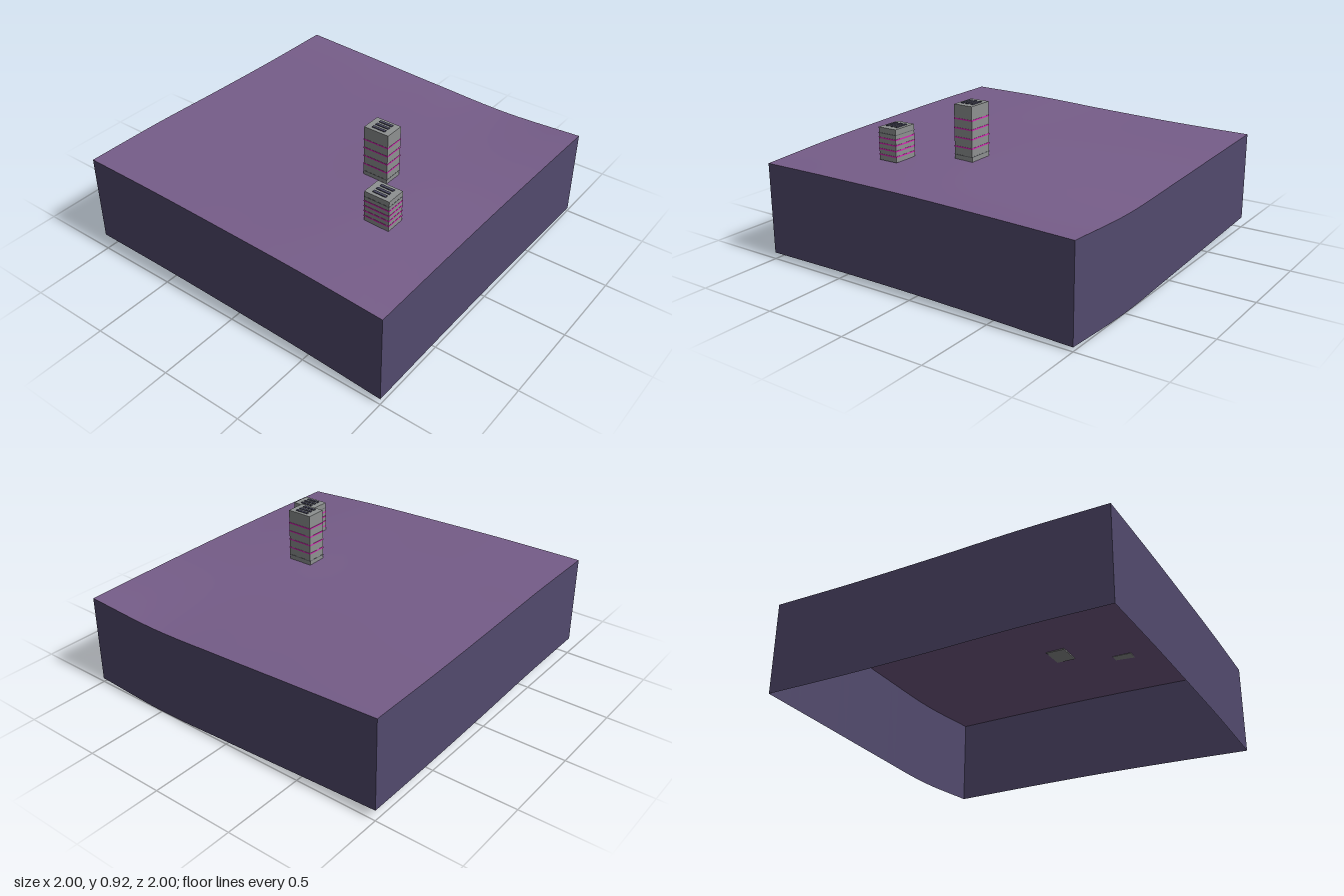
import * as THREE from 'three';

const mat = (name, color, side = THREE.FrontSide) => {
  const m = new THREE.MeshStandardMaterial({ color, side });
  m.name = name;
  return m;
};

// Ground heights on a 5 x 5 grid: rows run back to front, columns run x = -1 to 1
const HEIGHTS = [
  [0.64, 0.635, 0.617, 0.604, 0.6],
  [0.635, 0.625, 0.608, 0.593, 0.578],
  [0.622, 0.615, 0.602, 0.58, 0.555],
  [0.605, 0.605, 0.598, 0.57, 0.537],
  [0.575, 0.58, 0.58, 0.572, 0.56],
];
const DEPTH = 0.535;
const SEGMENTS = 24;

// Smooth interpolation through five evenly spaced values, t from -1 to 1
function smooth(v, t) {
  const u = (t + 1) * 2;
  const i = Math.min(3, Math.floor(u));
  const f = u - i;
  const p1 = v[i], p2 = v[i + 1];
  const p0 = i > 0 ? v[i - 1] : 2 * p1 - p2;
  const p3 = i < 3 ? v[i + 2] : 2 * p2 - p1;
  return p1 + 0.5 * f * (p2 - p0 + f * (2 * p0 - 5 * p1 + 4 * p2 - p3 + f * (3 * (p1 - p2) + p3 - p0)));
}
const groundY = (x, z) => smooth(HEIGHTS.map((row) => smooth(row, x)), z);

export function createModel() {
  const group = new THREE.Group();
  const ground = mat('ground purple', 0x765d89, THREE.DoubleSide);
  const cliff = mat('cliff indigo', 0x524a6d, THREE.DoubleSide);
  const concrete = mat('concrete grey', 0x8e9191);
  const neon = mat('neon magenta', 0xd42cb4);
  const trim = mat('trim grey', 0x66686c);
  const vent = mat('vent slate', 0x4a4a60);

  const add = (parent, geometry, material, name, x = 0, y = 0, z = 0) => {
    const mesh = new THREE.Mesh(geometry, material);
    mesh.name = name;
    mesh.position.set(x, y, z);
    parent.add(mesh);
    return mesh;
  };

  // Rolling ground surface
  const top = new THREE.PlaneGeometry(2, 2, SEGMENTS, SEGMENTS).rotateX(-Math.PI / 2);
  const p = top.attributes.position;
  for (let i = 0; i < p.count; i++) p.setY(i, groundY(p.getX(i), p.getZ(i)));
  top.computeVertexNormals();
  add(group, top, ground, 'ground');

  // Four side walls, open below, whose lower rim follows the ground edge
  ['frontWall', 'leftWall', 'backWall', 'rightWall'].forEach((name, side) => {
    const wall = new THREE.PlaneGeometry(2, 1, SEGMENTS, 1).translate(0, 0, 1).rotateY(side * Math.PI / 2);
    const w = wall.attributes.position;
    for (let i = 0; i < w.count; i++) {
      const x = THREE.MathUtils.clamp(w.getX(i), -1, 1);
      const z = THREE.MathUtils.clamp(w.getZ(i), -1, 1);
      w.setXYZ(i, x, groundY(x, z) - (w.getY(i) < 0 ? DEPTH : 0), z);
    }
    wall.computeVertexNormals();
    add(group, wall, cliff, name);
  });

  // Towers with wraparound light bands and three roof vents
  const W = 0.12, D = 0.157;
  const tower = (name, x, z, base, height, neonLevels, trimLevels) => {
    const t = new THREE.Group();
    t.name = name;
    t.position.set(x, 0, z);
    add(t, new THREE.BoxGeometry(W, height - base, D), concrete, 'towerBody', 0, (base + height) / 2, 0);
    const band = new THREE.BoxGeometry(W + 0.003, 0.008, D + 0.003);
    neonLevels.forEach((y) => add(t, band, neon, 'lightBand', 0, y, 0));
    const thin = new THREE.BoxGeometry(W + 0.002, 0.005, D + 0.002);
    trimLevels.forEach((y) => add(t, thin, trim, 'trimBand', 0, y, 0));
    for (const i of [-1, 0, 1]) {
      add(t, new THREE.BoxGeometry(0.016, 0.006, 0.083), vent, 'roofVent', i * 0.032, height + 0.002, 0);
    }
    group.add(t);
  };
  tower('tallTower', -0.083, 0.331, 0.597, 0.915, [0.835, 0.782, 0.729, 0.676], [0.628]);
  tower('shortTower', -0.416, 0.58, 0.602, 0.79, [0.73, 0.698, 0.666, 0.634], [0.757]);

  return group;
}
